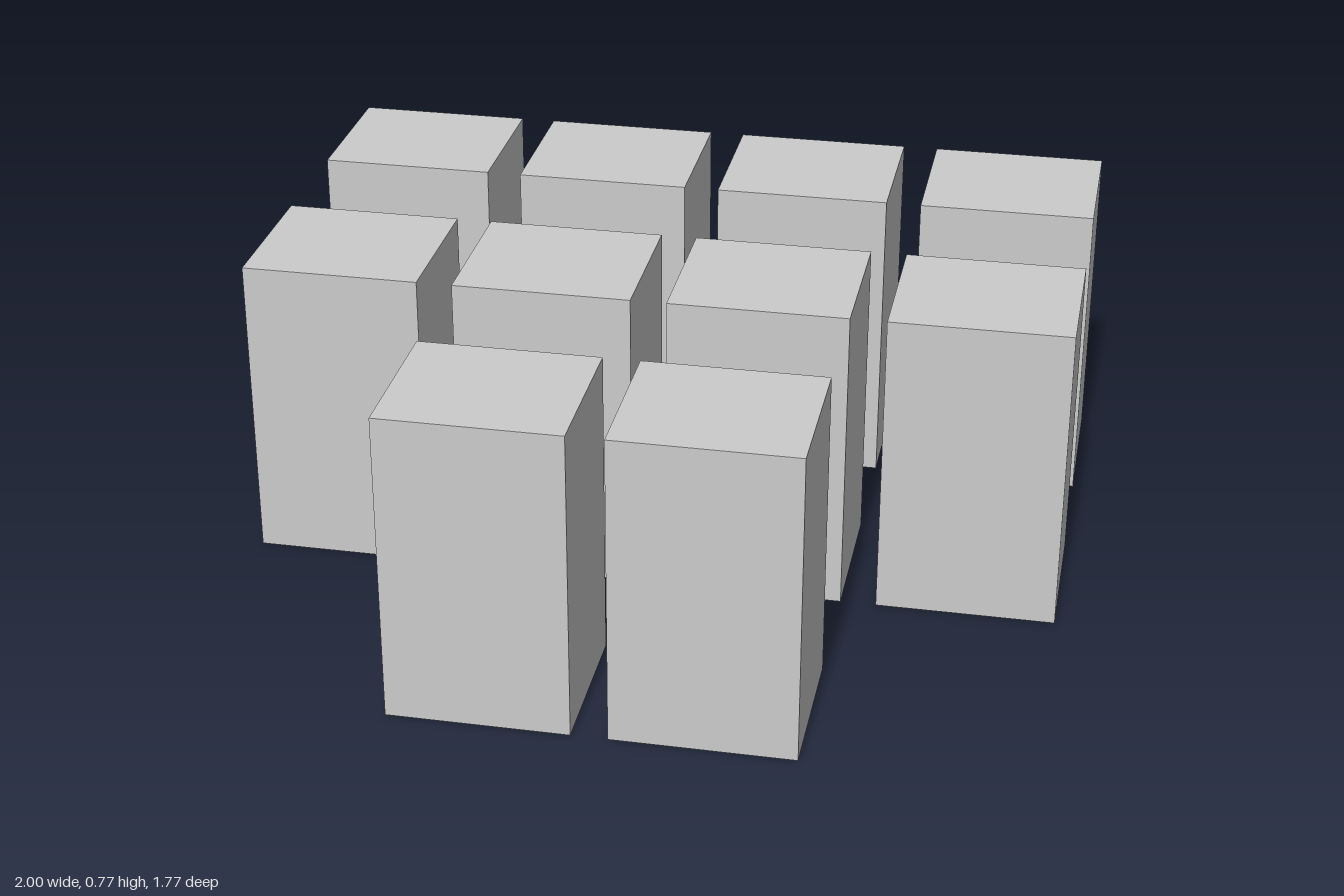
import * as THREE from 'three';

const WIDTH = 0.435, HEIGHT = 0.768, DEPTH = 0.386;
const PITCH_X = 0.5217, PITCH_Z = 0.692;

export function createModel() {
  const model = new THREE.Group();
  model.name = 'blockArrangement';

  const material = new THREE.MeshStandardMaterial({ color: 0xcccccc, flatShading: true });
  const geometry = new THREE.BoxGeometry(WIDTH, HEIGHT, DEPTH);

  // Three rows of upright blocks, each centred on x = 0
  const rows = [
    { name: 'backRow', count: 4, z: -PITCH_Z },
    { name: 'middleRow', count: 4, z: 0 },
    { name: 'frontRow', count: 2, z: PITCH_Z },
  ];

  for (const { name, count, z } of rows) {
    const row = new THREE.Group();
    row.name = name;
    for (let i = 0; i < count; i++) {
      const block = new THREE.Mesh(geometry, material);
      block.name = `${name}Block${i + 1}`;
      block.position.set((i - (count - 1) / 2) * PITCH_X, HEIGHT / 2, z);
      row.add(block);
    }
    model.add(row);
  }
  return model;
}
